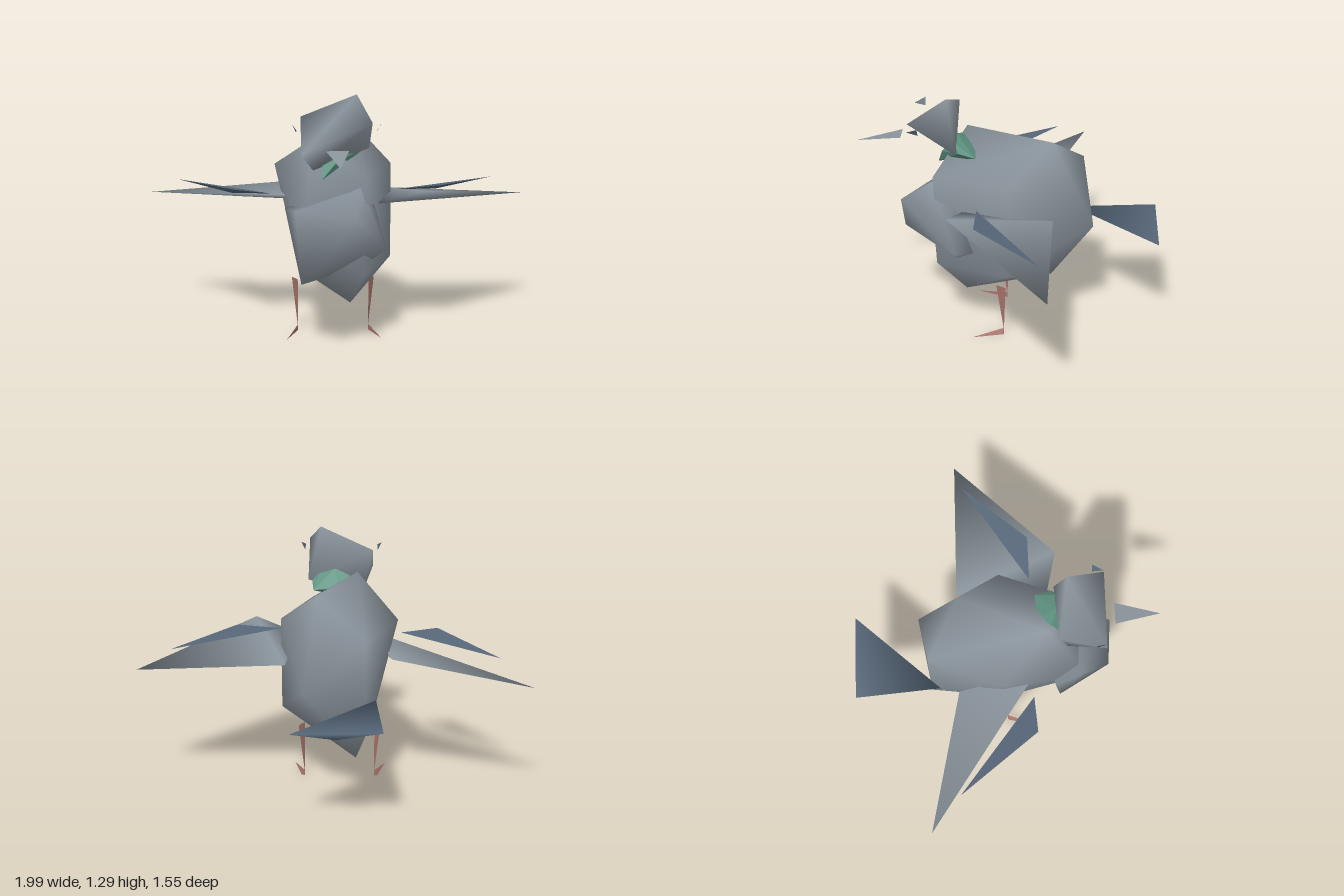
import * as THREE from 'three';
import { ConvexGeometry } from 'three/addons/geometries/ConvexGeometry.js';
import { mergeVertices } from 'three/addons/utils/BufferGeometryUtils.js';

const MID = -0.03; // x of the bird's own middle plane

const mat = (name, color, side = THREE.FrontSide) => {
  const m = new THREE.MeshStandardMaterial({ color, side });
  m.name = name;
  return m;
};
const vec = (pts) => pts.map((p) => new THREE.Vector3(...p));
const mirror = (pts) => pts.map(([x, y, z]) => [2 * MID - x, y, z]);

// Faceted solid around a few corner points, optionally with smooth normals
function solid(name, material, pts, smooth) {
  let g = new ConvexGeometry(vec(pts));
  if (smooth) {
    g.deleteAttribute('normal');
    g = mergeVertices(g, 1e-4);
    g.computeVertexNormals();
  }
  const mesh = new THREE.Mesh(g, material);
  mesh.name = name;
  return mesh;
}

// Single flat triangle
function sheet(name, material, pts) {
  const g = new THREE.BufferGeometry().setFromPoints(vec(pts));
  g.computeVertexNormals();
  const mesh = new THREE.Mesh(g, material);
  mesh.name = name;
  return mesh;
}

export function createModel() {
  const bird = new THREE.Group();
  bird.name = 'bird';
  const grey = mat('feather grey', 0x8a949c);
  const greySheet = mat('beak grey', 0x8a949c, THREE.DoubleSide);
  const blue = mat('slate blue', 0x566678, THREE.DoubleSide);
  const green = mat('neck green', 0x5f9382);
  const pink = mat('leg pink', 0xa8736c, THREE.DoubleSide);

  // Rounded body
  bird.add(solid('body', grey, [
    [0.08, 1.075, -0.23], [-0.12, 1.075, 0.21], [0.05, 0.21, 0.21], [-0.12, 0.21, -0.23],
    [0.14, 0.64, -0.445], [-0.17, 0.89, -0.39], [-0.17, 0.40, -0.39],
    [0.27, 0.89, -0.02], [0.27, 0.40, 0.0], [-0.33, 0.89, -0.02], [-0.2, 0.33, 0.0],
    [0.12, 0.89, 0.37], [0.11, 0.39, 0.36], [-0.2, 0.64, 0.42],
  ], true));

  // Chest
  bird.add(solid('chest', grey, [
    [0.06, 0.73, 0.545], [-0.1, 0.5, 0.545], [-0.23, 0.73, 0.38], [0.09, 0.845, 0.38],
    [0.15, 0.8, 0.25], [0.23, 0.5, 0.26], [-0.28, 0.72, 0.25], [-0.15, 0.4, 0.36],
    [-0.2, 0.33, 0.29], [0.12, 0.42, 0.25], [0.2, 0.5, 0.165],
  ], true));

  // Head, a twisted six-cornered block
  bird.add(solid('head', grey, [
    [0.075, 1.295, 0.3], [0.14, 1.185, 0.49], [-0.2, 1.03, 0.495],
    [-0.2, 1.18, 0.255], [0.14, 1.02, 0.25], [-0.14, 0.92, 0.31],
  ], true));

  // Neck band
  bird.add(solid('neck', green, [
    [-0.08, 1.05, 0.23], [0.0, 1.08, 0.255], [0.11, 0.99, 0.155], [0.08, 1.06, 0.26],
    [-0.1, 0.88, 0.36], [-0.02, 0.97, 0.335], [0.12, 1.02, 0.24], [-0.02, 1.0, 0.16],
  ]));

  bird.add(sheet('beak', greySheet, [[-0.025, 1.02, 0.77], [0.025, 1.06, 0.54], [-0.085, 1.06, 0.54]]));

  // Wings and their coloured bars
  bird.add(solid('leftWing', grey, [
    [0.99, 0.68, -0.23], [0.42, 0.805, 0.28], [0.19, 0.73, 0.22], [0.24, 0.715, -0.24], [0.3, 0.69, 0.0],
  ], true));
  bird.add(solid('rightWing', grey, [
    [-1.0, 0.665, -0.4], [-0.3, 0.75, -0.24], [-0.22, 0.76, 0.15], [-0.25, 0.71, 0.0],
  ], true));
  bird.add(solid('leftWingBar', blue, [
    [0.82, 0.777, -0.19], [0.28, 0.785, 0.14], [0.51, 0.803, 0.14], [0.5, 0.77, 0.06],
  ]));
  bird.add(solid('rightWingBar', blue, [
    [-0.84, 0.765, -0.25], [-0.35, 0.768, 0.135], [-0.54, 0.792, 0.145], [-0.55, 0.757, 0.06],
  ]));

  // Tail
  bird.add(solid('tail', blue, [
    [-0.255, 0.575, -0.78], [0.19, 0.565, -0.78], [-0.22, 0.57, -0.34], [-0.03, 0.54, -0.78],
  ], true));

  // Legs, feet and eyes on both sides
  const leg = [[-0.245, 0.29, 0.0], [-0.215, 0.29, 0.05], [-0.215, 0.02, 0.01]];
  const foot = [[-0.275, 0.003, 0.175], [-0.215, 0.03, 0.01], [-0.215, 0, 0.01], [-0.232, 0, 0.012]];
  const eye = [[-0.225, 1.135, 0.435], [-0.245, 1.175, 0.437], [-0.222, 1.15, 0.492]];
  for (const [side, f] of [['right', (p) => p], ['left', mirror]]) {
    bird.add(sheet(side + 'Leg', pink, f(leg)));
    bird.add(solid(side + 'Foot', pink, f(foot)));
    bird.add(sheet(side + 'Eye', blue, f(eye)));
  }
  return bird;
}
